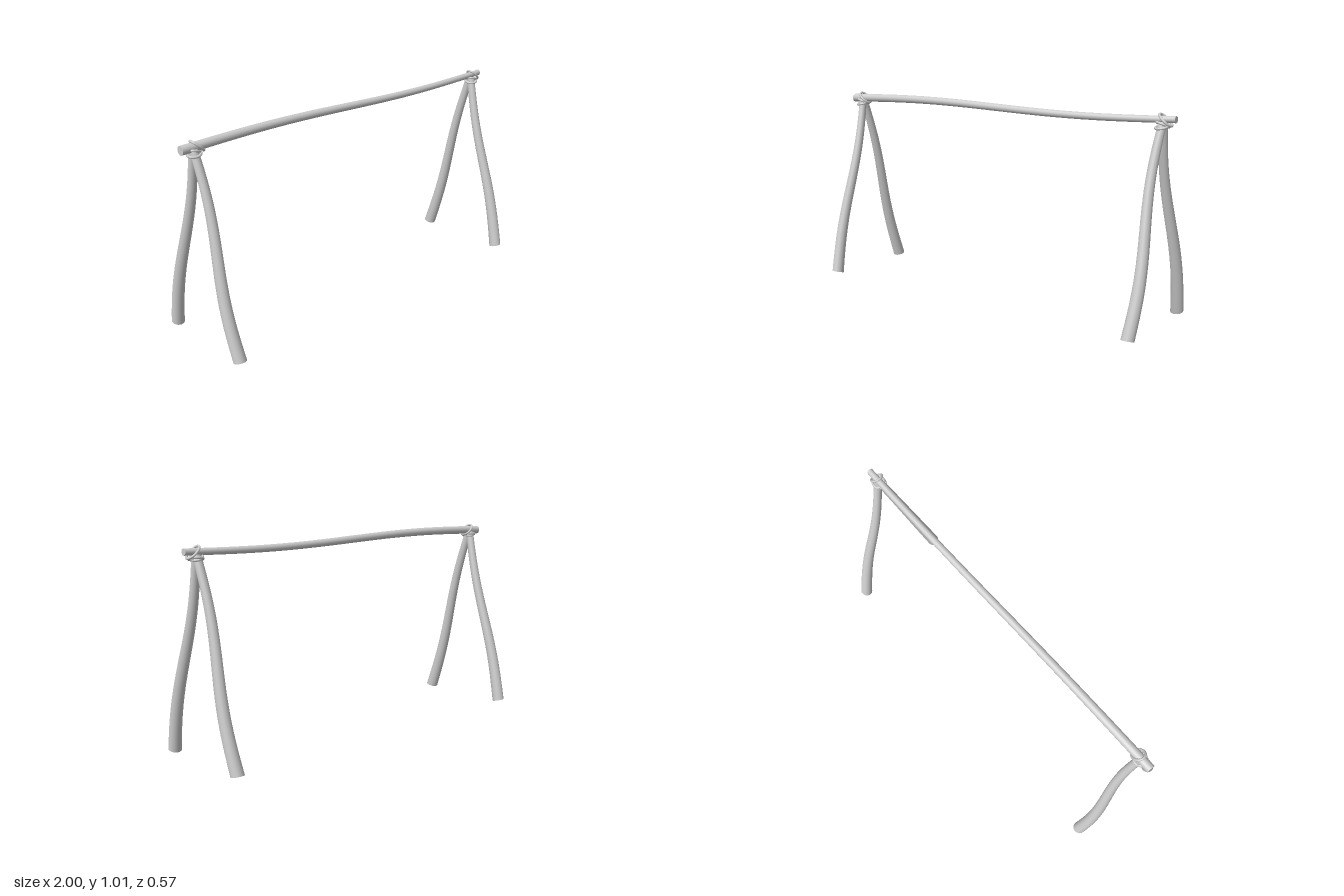
import * as THREE from 'three';

const material = new THREE.MeshStandardMaterial({ color: 0xcccccc });

function add(group, name, geometry) {
  const mesh = new THREE.Mesh(geometry, material);
  mesh.name = name;
  group.add(mesh);
}

// Tapered pole along +y from the origin, its centre line shifted in x by bend(t)
function pole(length, r0, r1, bend) {
  const geo = new THREE.CylinderGeometry(r1, r0, length, 20, 32);
  geo.translate(0, length / 2, 0);
  const p = geo.attributes.position;
  for (let i = 0; i < p.count; i++) p.setX(i, p.getX(i) + bend(p.getY(i) / length));
  return geo;
}

// Oval rope loop spanned by two half-axis vectors
function ropeLoop(center, u, v) {
  const points = [];
  for (let i = 0; i < 16; i++) {
    const a = (i / 16) * Math.PI * 2;
    points.push(center.clone().addScaledVector(u, Math.cos(a)).addScaledVector(v, Math.sin(a)));
  }
  return new THREE.TubeGeometry(new THREE.CatmullRomCurve3(points, true), 48, 0.006, 8, true);
}

export function createModel() {
  const group = new THREE.Group();
  group.name = 'poleFrame';
  const wave = (t) => Math.sin(t * Math.PI * 2);
  const V = (x, y, z) => new THREE.Vector3(x, y, z);

  // Crossbar: gently bowed, thinner towards +x
  const bar = pole(2, 0.022, 0.016, (t) => 0.012 * wave(t) + 0.01 * t);
  bar.rotateZ(-Math.PI / 2);
  // the bend in local x now points down, so turn it upwards
  bar.rotateX(Math.PI);
  bar.translate(-1, 0.978, 0);
  add(group, 'crossbar', bar);

  // Pairs of wavy legs leaning together under each end
  const rise = 0.958, run = 0.253;
  for (const side of [-1, 1]) {
    const end = side < 0 ? 'right' : 'left';
    for (const depth of [-1, 1]) {
      const leg = pole(Math.hypot(rise, run), 0.032, 0.02,
        (t) => side * (0.014 * wave(t) + 0.01 * t));
      leg.rotateX(-depth * Math.atan2(run, rise));
      leg.translate(side * 0.925, 0.012, depth * 0.256);
      add(group, `${end}${depth > 0 ? 'Front' : 'Back'}Leg`, leg);
    }

    // Lashing: a slanted loop round the crossbar and two loops round the leg tops
    const barX = side < 0 ? -0.916 : 0.95;
    const legX = side * 0.935;
    add(group, `${end}BarLashing`,
      ropeLoop(V(barX, 0.983, 0.003), V(0.029, -0.026, 0), V(0, 0, 0.029)));
    add(group, `${end}LegLashing`,
      ropeLoop(V(legX, 0.953, 0.003), V(0.032, 0.004, 0), V(0, -0.008, 0.031)));
    add(group, `${end}CrossLashing`,
      ropeLoop(V(legX, 0.961, 0.001), V(0.028, -0.008, 0), V(0, 0.009, 0.028)));
  }
  return group;
}
